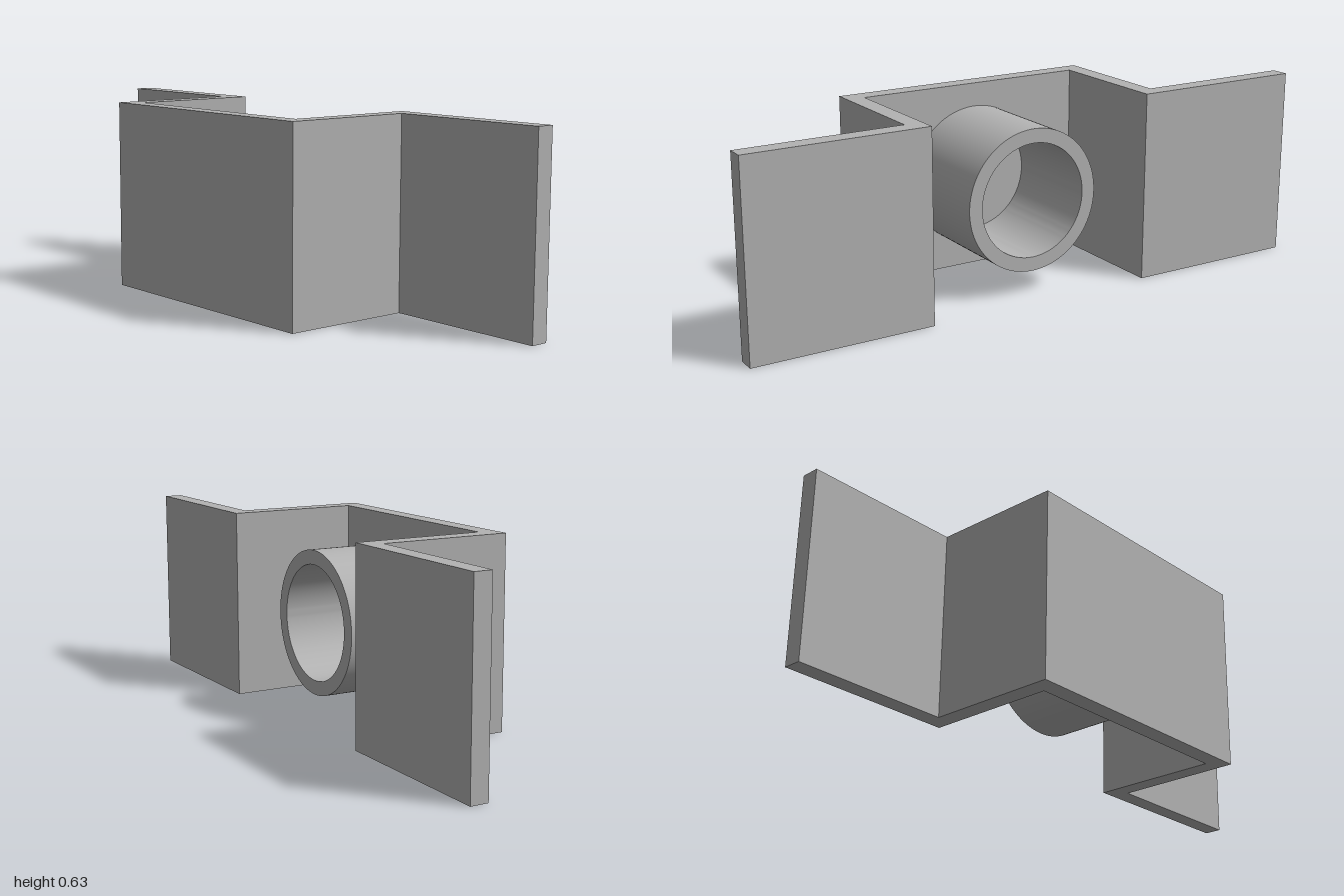
import * as THREE from 'three';
import { toCreasedNormals } from 'three/addons/utils/BufferGeometryUtils.js';

export function createModel() {
  const model = new THREE.Group();
  model.name = 'bracket';
  const metal = new THREE.MeshStandardMaterial({ color: 0xb3b3b3 });
  metal.name = 'grey metal';
  const height = 0.632;

  // Folded strip: wing, wall, front plate, wall, wing, drawn as (x, -z) and raised along y
  const outline = [
    [-1, 0.25], [-0.4, 0.25], [-0.4, -0.19], [0.395, -0.19], [0.395, 0.25], [1, 0.25],
    [1, 0.19], [0.455, 0.19], [0.455, -0.25], [-0.46, -0.25], [-0.46, 0.19], [-1, 0.19],
  ].map(([x, y]) => new THREE.Vector2(x, y));
  const stripGeometry = new THREE.ExtrudeGeometry(new THREE.Shape(outline), {
    depth: height, bevelEnabled: false,
  });
  stripGeometry.rotateX(-Math.PI / 2);
  const strip = new THREE.Mesh(stripGeometry, metal);
  strip.name = 'foldedStrip';
  model.add(strip);

  // Hollow sleeve on the back of the front plate, closed by the plate
  const ring = new THREE.Shape().absarc(0, 0, 0.237, 0, Math.PI * 2, false);
  ring.holes.push(new THREE.Path().absarc(0, 0, 0.19, 0, Math.PI * 2, true));
  const sleeveGeometry = toCreasedNormals(new THREE.ExtrudeGeometry(ring, {
    depth: 0.365, bevelEnabled: false, curveSegments: 64,
  }), Math.PI / 6);
  const sleeve = new THREE.Mesh(sleeveGeometry, metal);
  sleeve.name = 'sleeve';
  sleeve.position.set(-0.013, height / 2, -0.175);
  model.add(sleeve);

  return model;
}
